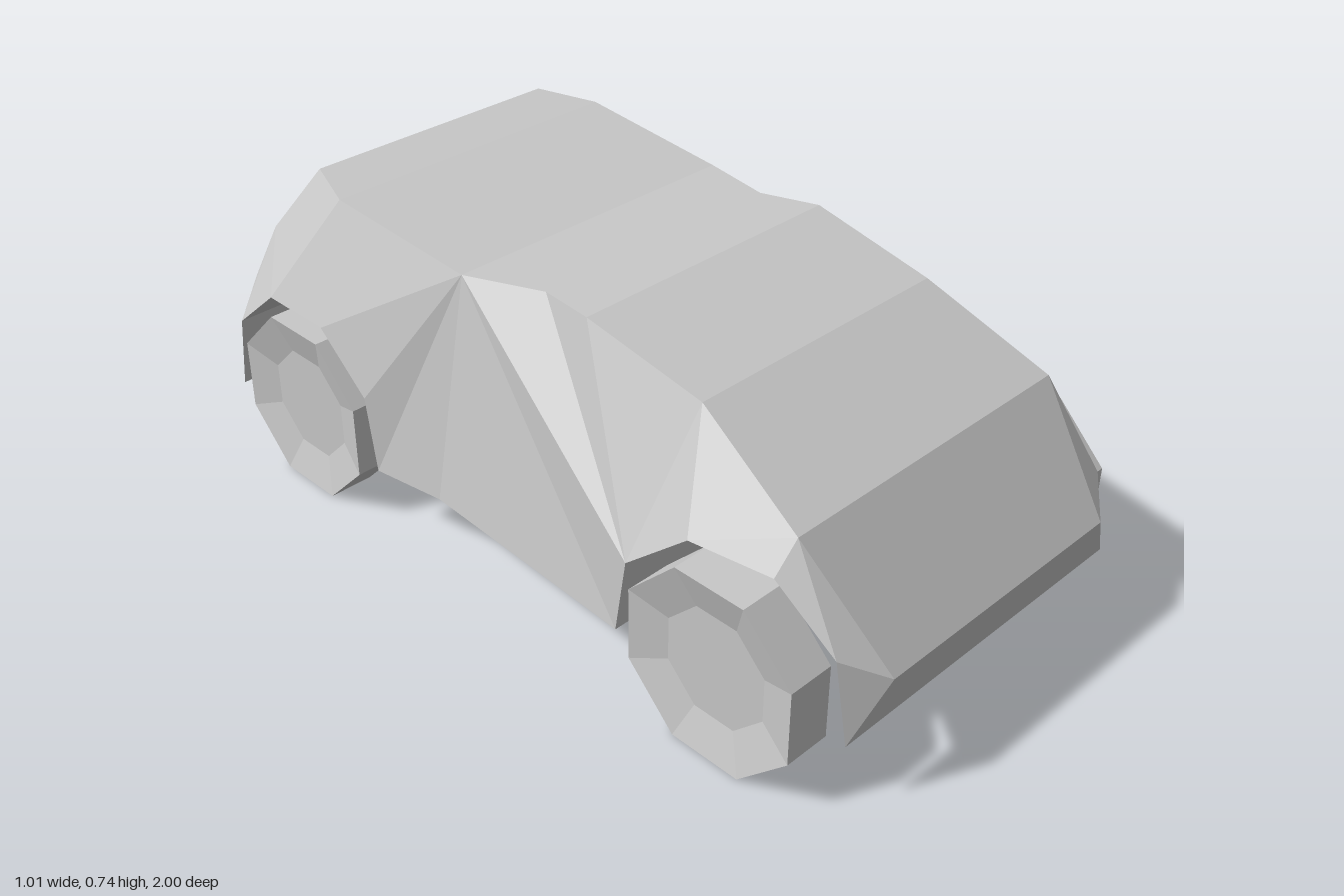
import * as THREE from 'three';

const grey = new THREE.MeshStandardMaterial({ color: 0xc8c8c8 });
grey.name = 'plain grey';

// Facet every face
function faceted(geometry) {
  const g = geometry.index ? geometry.toNonIndexed() : geometry;
  g.computeVertexNormals();
  return g;
}

// Shoulder line from nose over the roof to the tail: [z, y, half width]
const T = [
  [1, 0.29, 0.34], [0.8, 0.535, 0.395], [0.51, 0.67, 0.345], [0.2, 0.73, 0.352],
  [0.05, 0.717, 0.325], [-0.15, 0.70, 0.382], [-0.56, 0.733, 0.39], [-0.71, 0.74, 0.335],
  [-0.83, 0.57, 0.395], [-0.935, 0.40, 0.40], [-1, 0.155, 0.26],
];
// Lower line from front to back, stepping over both wheel arches
const B = [
  [0.965, 0.155, 0.425], [0.93, 0.34, 0.425], [0.79, 0.463, 0.445], [0.6, 0.463, 0.475],
  [0.455, 0.34, 0.496], [0.425, 0.155, 0.496], [-0.17, 0.155, 0.467], [-0.355, 0.155, 0.496],
  [-0.38, 0.34, 0.498], [-0.525, 0.463, 0.498], [-0.72, 0.463, 0.498], [-0.865, 0.34, 0.498],
  [-0.89, 0.155, 0.498], [-0.96, 0.155, 0.41],
];
// Order in which the side panel steps along the shoulder (t) or lower line (b)
const STEPS = 'btbbtbtttbbbbbtbttbtbbt';

function bodyGeometry() {
  const pos = [];
  const right = ([z, y, w]) => [w, y, z];
  const left = ([z, y, w]) => [-w, y, z];
  const tri = (a, b, c) => pos.push(...a, ...b, ...c);

  // Both side panels
  let t = 0, b = 0;
  for (const step of STEPS) {
    const next = step === 't' ? T[t + 1] : B[b + 1];
    tri(right(T[t]), right(B[b]), right(next));
    tri(left(T[t]), left(next), left(B[b]));
    if (step === 't') t++; else b++;
  }

  // Strips across the car: bonnet, roof, tail, floor and arches
  const loop = [...T, ...[...B].reverse()];
  loop.forEach((p, i) => {
    const q = loop[(i + 1) % loop.length];
    tri(right(p), right(q), left(q));
    tri(right(p), left(q), left(p));
  });

  const g = new THREE.BufferGeometry();
  g.setAttribute('position', new THREE.Float32BufferAttribute(pos, 3));
  return faceted(g);
}

// Eight-sided wheel with a dished outer face towards +x
function wheelGeometry() {
  const profile = [[0, -0.055], [0.228, -0.055], [0.228, 0.055], [0.135, 0.03], [0, 0.03]];
  const g = new THREE.LatheGeometry(profile.map(([r, h]) => new THREE.Vector2(r, h)), 8);
  g.rotateY(Math.PI / 8);
  g.rotateZ(-Math.PI / 2);
  return faceted(g);
}

export function createModel() {
  const car = new THREE.Group();
  car.name = 'car';

  const body = new THREE.Mesh(bodyGeometry(), grey);
  body.name = 'body';
  body.position.x = 0.007;
  car.add(body);

  const wheelShape = wheelGeometry();
  for (const [end, z] of [['front', 0.69], ['rear', -0.62]]) {
    for (const [side, s] of [['Left', 1], ['Right', -1]]) {
      const wheel = new THREE.Mesh(wheelShape, grey);
      wheel.name = `${end}${side}Wheel`;
      wheel.position.set(s * 0.45, 0.211, z);
      if (s < 0) wheel.rotation.y = Math.PI;
      car.add(wheel);
    }
  }
  return car;
}
